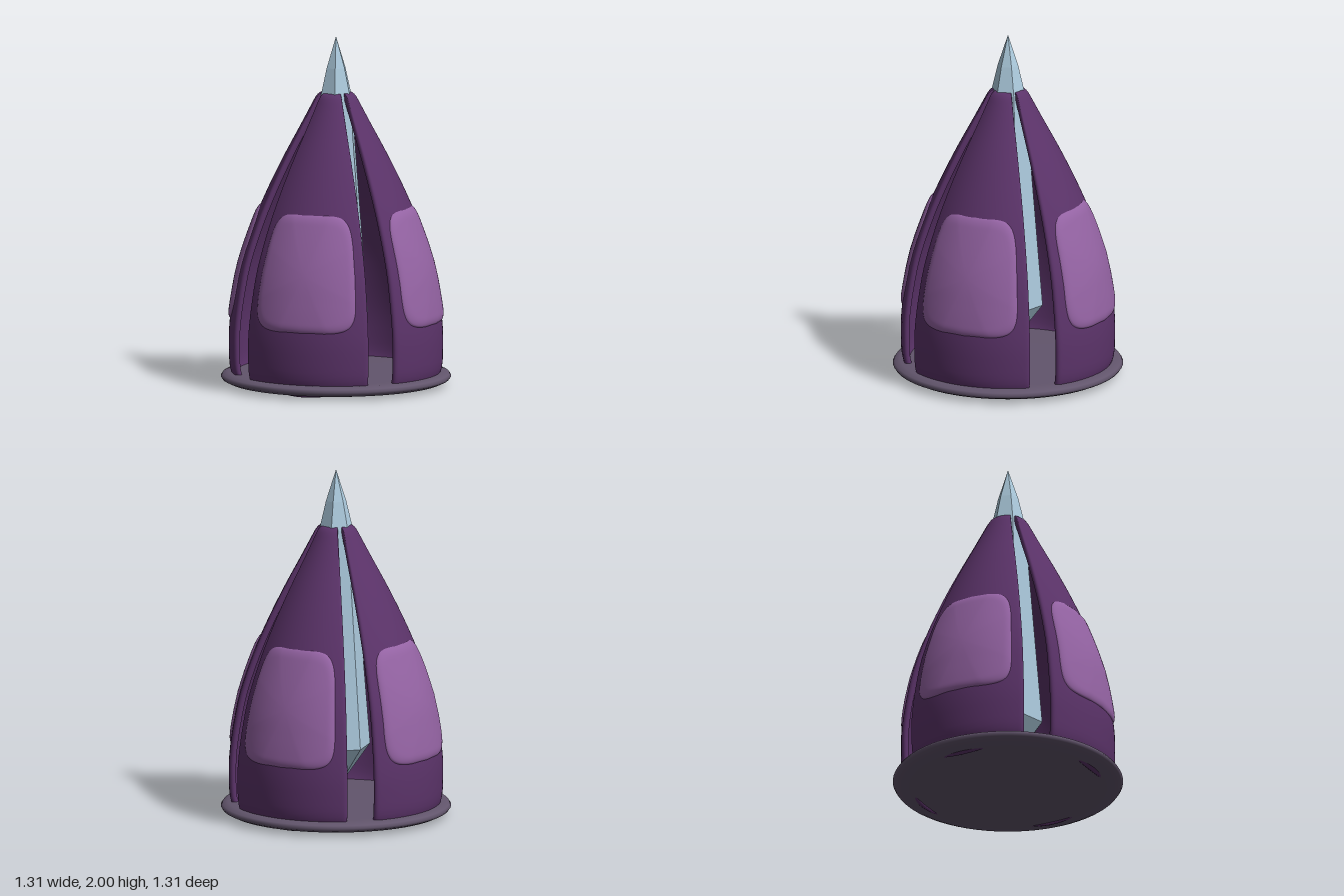
import * as THREE from 'three';
import { mergeVertices } from 'three/addons/utils/BufferGeometryUtils.js';
import { ParametricGeometry } from 'three/addons/geometries/ParametricGeometry.js';

const V = (x, y) => new THREE.Vector2(x, y);
const rad = THREE.MathUtils.degToRad;
const lerp = THREE.MathUtils.lerp;

// Outer silhouette of the bud, sampled so a radius can be read at any height
const silhouette = new THREE.SplineCurve([
  V(0.555, 0), V(0.6, 0.09), V(0.609, 0.22), V(0.605, 0.36), V(0.58, 0.54), V(0.542, 0.72),
  V(0.467, 0.94), V(0.386, 1.13), V(0.293, 1.32), V(0.197, 1.5), V(0.1, 1.685),
]).getPoints(200);

function radiusAt(y) {
  const i = Math.max(1, silhouette.findIndex((p) => p.y >= y));
  const a = silhouette[i - 1], b = silhouette[i];
  return lerp(a.x, b.x, (y - a.y) / (b.y - a.y));
}

// Parametric surface with welded seams and smooth normals
function surface(fn, us, vs) {
  const g = new ParametricGeometry(fn, us, vs);
  g.deleteAttribute('normal');
  g.deleteAttribute('uv');
  const merged = mergeVertices(g);
  merged.computeVertexNormals();
  return merged;
}

const polar = (target, r, a, y) => target.set(r * Math.sin(a), y, r * Math.cos(a));
const round = (d, edge) => Math.sqrt(Math.max(0, 1 - (1 - Math.min(1, d / edge)) ** 2));

// Curved shell with rounded rims: u runs across, v runs up the outside and down the inside
function petalGeometry() {
  const half = 0.02, span = rad(37.4);
  return surface((u, v, target) => {
    const s = (1 - Math.cos(Math.PI * u)) / 2;
    const t = (1 - Math.cos(2 * Math.PI * v)) / 2;
    const side = 2 * s - 1;
    const foot = 0.03 * Math.min(1, (side / 0.6) ** 2);
    const y = lerp(foot, 1.68, t);
    const h = half * round(Math.min(s, 1 - s), 0.03) * round(Math.min(t, 1 - t), 0.02);
    polar(target, radiusAt(y) - half + (v < 0.5 ? h : -h), side * span, y);
  }, 36, 72);
}

// Padded panel with rounded corners that hugs the petal: u runs around, v runs inwards
function padGeometry() {
  const soft = (c) => Math.sign(c) * Math.abs(c) ** 0.36;
  return surface((u, v, target) => {
    const s = 1 - (v * v + v) / 2;
    const q = u * Math.PI * 2;
    const y = 0.705 + 0.332 * s * soft(Math.sin(q));
    const a = rad(31) * s * soft(Math.cos(q));
    polar(target, radiusAt(y) + lerp(-0.008, 0.014, round(1 - s, 0.16)), a, y);
  }, 72, 24);
}

// Six-sided faceted crystal with corners on the x axis
function crystalGeometry() {
  const g = new THREE.LatheGeometry(
    [V(0, 0.135), V(0.2, 0.4), V(0.097, 1.66), V(0.059, 1.82), V(0, 2)], 6,
  ).rotateY(Math.PI / 2).toNonIndexed();
  g.computeVertexNormals();
  return g;
}

// Thin dish with a rounded rim
function baseGeometry() {
  return new THREE.LatheGeometry([
    V(0, 0.008), V(0.3, 0.008), V(0.56, 0.012), V(0.615, 0.021), V(0.645, 0.035), V(0.655, 0.05),
    V(0.645, 0.065), V(0.615, 0.077), V(0.56, 0.08), V(0.3, 0.08), V(0, 0.08),
  ], 72);
}

export function createModel() {
  const material = (name, color) => {
    const m = new THREE.MeshStandardMaterial({ color });
    m.name = name;
    return m;
  };
  const petalMat = material('deep purple', 0x5b3369);
  const padMat = material('light purple', 0x9463a3);
  const baseMat = material('grey purple', 0x62556c);
  const crystalMat = material('pale blue', 0xaccadd);

  const model = new THREE.Group();
  model.name = 'crystalBud';
  const add = (parent, name, geometry, mat) => {
    const mesh = new THREE.Mesh(geometry, mat);
    mesh.name = name;
    parent.add(mesh);
  };

  add(model, 'base', baseGeometry(), baseMat);
  add(model, 'crystal', crystalGeometry(), crystalMat);

  // Four petals on the diagonals, each with its pad
  const petal = petalGeometry(), pad = padGeometry();
  for (let i = 0; i < 4; i++) {
    const group = new THREE.Group();
    group.name = `petalGroup${i + 1}`;
    group.rotation.y = Math.PI / 4 + (i * Math.PI) / 2;
    add(group, 'petal', petal, petalMat);
    add(group, 'pad', pad, padMat);
    model.add(group);
  }
  return model;
}
